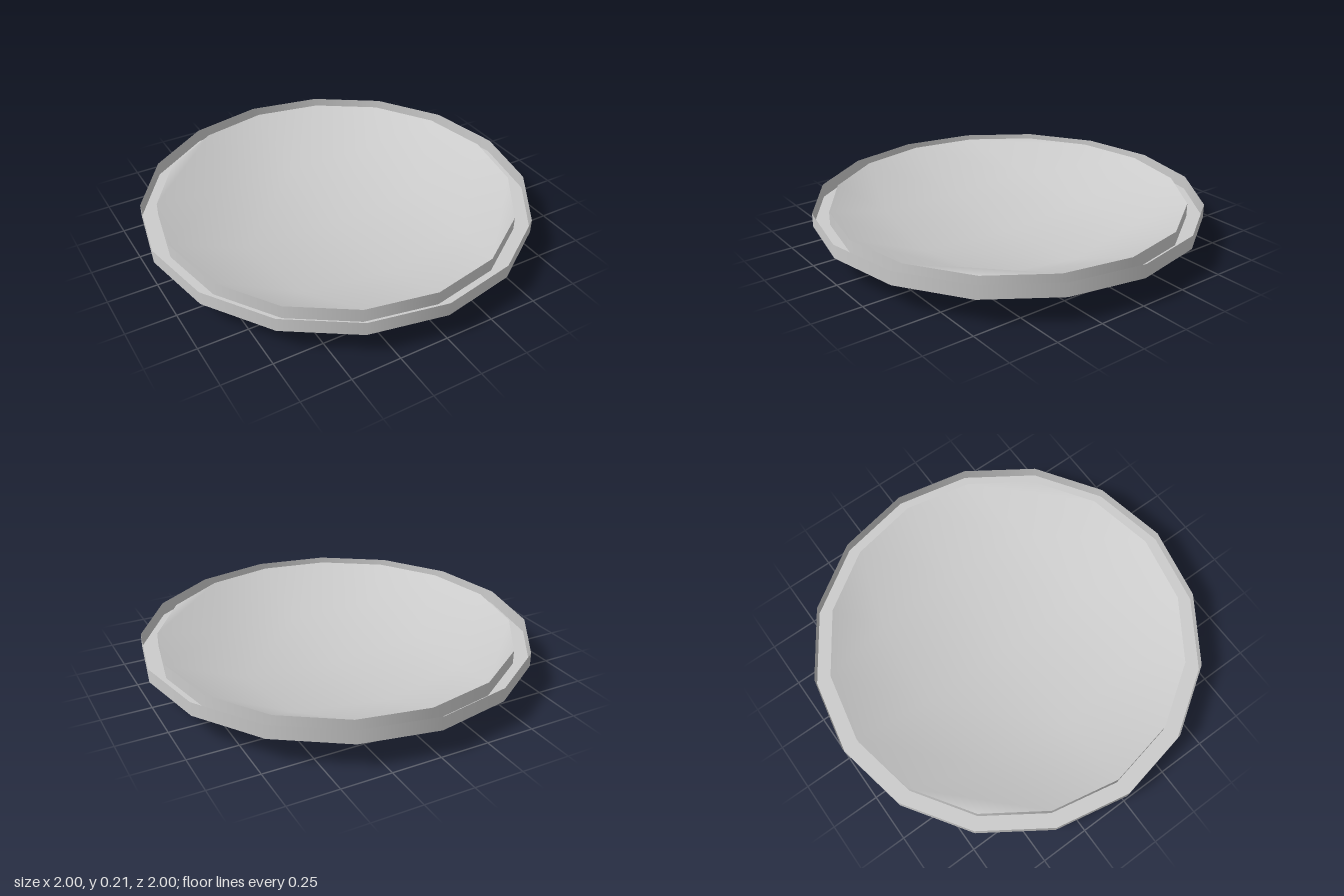
import * as THREE from 'three';

const SIDES = 16;
const OUTER = 1, INNER = 0.917, TOP = 0.21, BOTTOM = 0.14;
const material = new THREE.MeshStandardMaterial({ color: 0xcccccc, side: THREE.DoubleSide });

// One smooth band of the rim, turned from a two-point profile
function band(name, r1, y1, r2, y2) {
  const profile = [new THREE.Vector2(r1, y1), new THREE.Vector2(r2, y2)];
  const mesh = new THREE.Mesh(new THREE.LatheGeometry(profile, SIDES), material);
  mesh.name = name;
  return mesh;
}

// Shallow bowl: a 4 x 4 grid wrapped onto a 16-sided disc and sagging to the middle
function createDish() {
  const geometry = new THREE.PlaneGeometry(2, 2, 4, 4).rotateX(-Math.PI / 2);
  const pos = geometry.attributes.position;
  for (let i = 0; i < pos.count; i++) {
    const x = pos.getX(i), z = pos.getZ(i);
    const ax = Math.abs(x), az = Math.abs(z), level = Math.max(ax, az);
    if (level < 0.01) {
      pos.setXYZ(i, 0, 0, 0);
      continue;
    }
    const angle = ax >= az
      ? (z / x) * Math.PI / 4 + (x < 0 ? Math.PI : 0)
      : Math.PI / 2 - (x / z) * Math.PI / 4 + (z < 0 ? Math.PI : 0);
    const corner = Math.min(ax, az) / level;
    const onRim = level > 0.9;
    const radius = onRim ? INNER : 0.52 + 0.145 * corner;
    const y = onRim ? TOP : 0.04 + 0.038 * corner;
    pos.setXYZ(i, radius * Math.cos(angle), y, radius * Math.sin(angle));
  }
  geometry.computeVertexNormals();
  const mesh = new THREE.Mesh(geometry, material);
  mesh.name = 'dish';
  return mesh;
}

export function createModel() {
  const model = new THREE.Group();
  model.name = 'shallowDish';

  // Rim channel, open at the top
  const rim = new THREE.Group();
  rim.name = 'rim';
  rim.add(
    band('outerWall', OUTER, BOTTOM, OUTER, TOP),
    band('rimUnderside', INNER, BOTTOM, OUTER, BOTTOM),
    band('innerWall', INNER, TOP, INNER, BOTTOM),
  );

  model.add(rim, createDish());
  return model;
}
